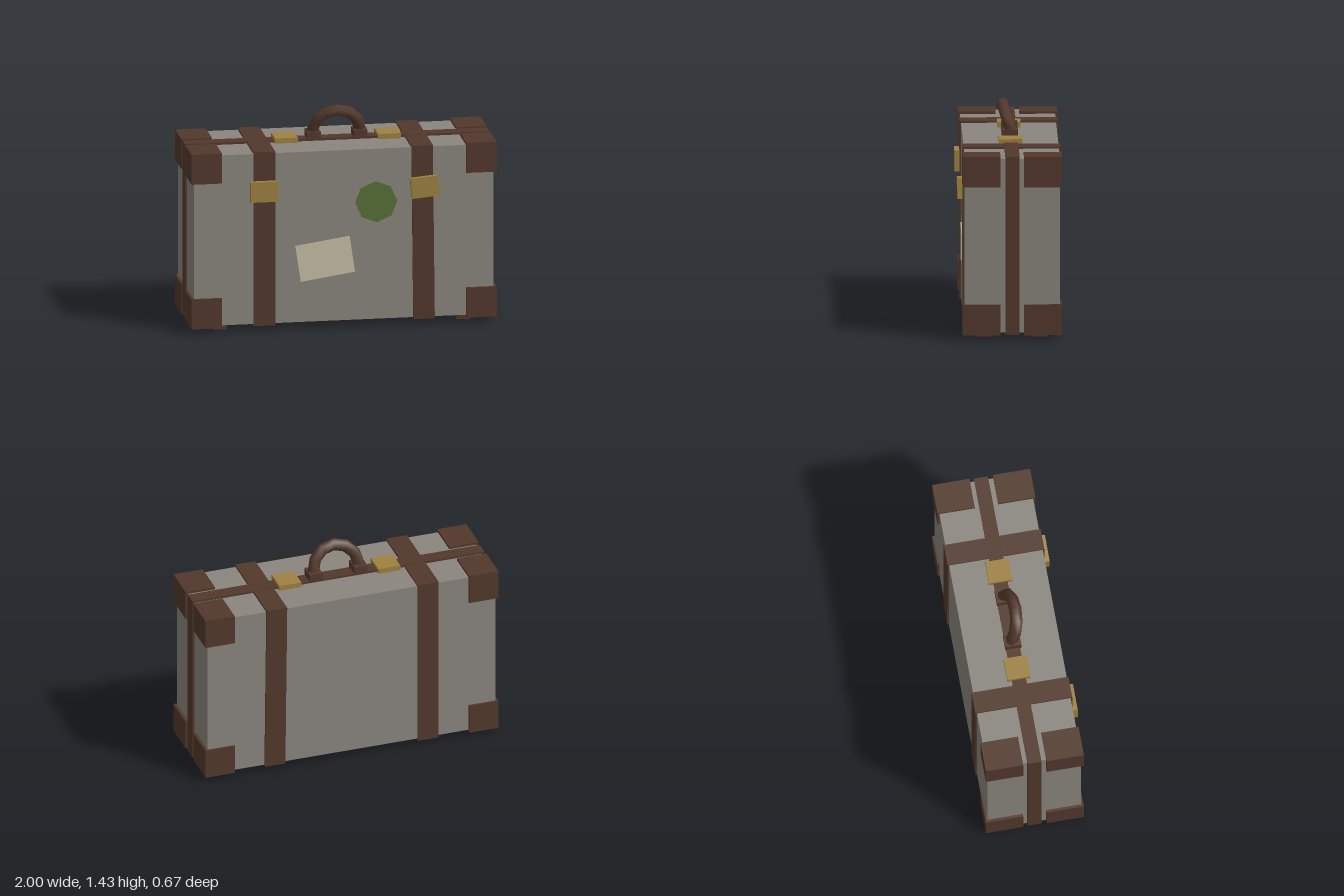
import * as THREE from 'three';

const mat = (name, color) => {
  const m = new THREE.MeshStandardMaterial({ color });
  m.name = name;
  return m;
};

export function createModel() {
  const suitcase = new THREE.Group();
  suitcase.name = 'suitcase';
  const leather = mat('brown leather', 0x52382b);
  const canvas = mat('grey canvas', 0x8a857e);
  const brass = mat('brass', 0x9e8140);
  const green = mat('green label', 0x577038);
  const paper = mat('cream paper', 0xc8bfa6);

  const add = (name, geometry, material, x, y, z) => {
    const mesh = new THREE.Mesh(geometry, material);
    mesh.name = name;
    mesh.position.set(x, y, z);
    suitcase.add(mesh);
    return mesh;
  };
  const box = (name, material, [w, h, d], [x, y, z]) =>
    add(name, new THREE.BoxGeometry(w, h, d), material, x, y, z);

  const midY = 0.617, midZ = -0.0145;

  // Case shell and the band around its seam
  box('body', canvas, [1.964, 1.137, 0.615], [0, midY, midZ]);
  box('seamBand', leather, [1.994, 1.165, 0.092], [0, midY, -0.015]);

  // Corner protectors and feet
  for (const sx of [-1, 1]) {
    for (const sz of [-1, 1]) {
      for (const sy of [-1, 1]) {
        box('cornerProtector', leather, [0.2, 0.2, 0.245],
          [sx * 0.9, midY + sy * 0.484, -0.0135 + sz * 0.199]);
      }
      box('foot', leather, [0.09, 0.05, 0.09], [sx * 0.797, 0.025, -0.012 + sz * 0.185]);
    }
  }

  // Straps with buckles; the one on the left sits slightly crooked
  box('rightStrap', leather, [0.142, 1.162, 0.636], [-0.521, midY, midZ]);
  box('leftStrap', leather, [0.14, 1.16, 0.636], [0.518, midY, midZ]).rotation.z = 0.011;
  box('rightBuckle', brass, [0.182, 0.135, 0.034], [-0.525, 0.938, 0.319]);
  box('leftBuckle', brass, [0.18, 0.135, 0.034], [0.525, 0.925, 0.319]).rotation.z = 0.087;

  // Top latches and handle mounts
  for (const sx of [-1, 1]) {
    box('latch', brass, [0.15, 0.036, 0.152], [sx * 0.338, 1.202, -0.014]);
    box('handleMount', leather, [0.09, 0.055, 0.105], [sx * 0.153, 1.218, -0.013]);
  }

  // Handle arch leaning forward
  const handle = add('handle', new THREE.TorusGeometry(0.155, 0.04, 6, 6, Math.PI), leather, 0, 1.242, -0.018);
  handle.rotation.x = 0.35;

  // Travel labels on the front
  const label = add('roundLabel', new THREE.CylinderGeometry(0.137, 0.137, 0.008, 8), green, 0.212, 0.832, 0.296);
  label.rotation.set(Math.PI / 2, 0.03, 0);
  box('paperLabel', paper, [0.36, 0.242, 0.008], [-0.123, 0.464, 0.296]).rotation.z = 0.148;

  return suitcase;
}
